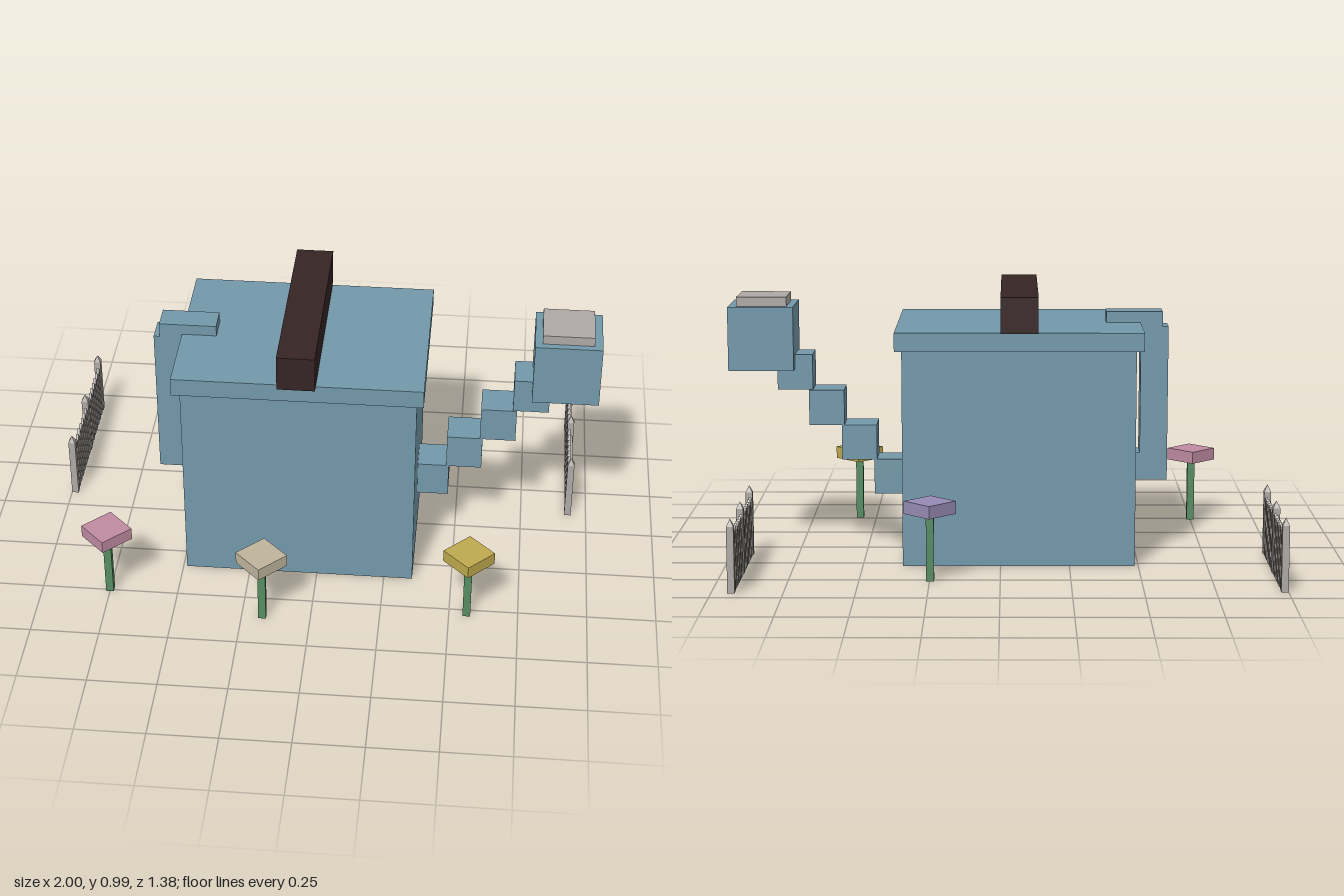
import * as THREE from 'three';

const mat = (name, color) => Object.assign(new THREE.MeshStandardMaterial({ color }), { name });

export function createModel() {
  const model = new THREE.Group();
  model.name = 'wateringCanGarden';

  const blue = mat('dusty blue', 0x7399ab);
  const brown = mat('dark brown', 0x352424);
  const grey = mat('warm grey', 0xaea9a6);
  const green = mat('stem green', 0x568c62);

  // Box given by its min and max on each axis
  function box(name, material, [x0, x1], [y0, y1], [z0, z1], parent = model) {
    const mesh = new THREE.Mesh(new THREE.BoxGeometry(x1 - x0, y1 - y0, z1 - z0), material);
    mesh.position.set((x0 + x1) / 2, (y0 + y1) / 2, (z0 + z1) / 2);
    mesh.name = name;
    parent.add(mesh);
    return mesh;
  }

  // Can body, rim and top bar
  box('body', blue, [-0.487, 0.355], [0, 0.79], [-0.293, 0.337]);
  box('rim', blue, [-0.514, 0.38], [0.79, 0.857], [-0.32, 0.362]);
  box('topBar', brown, [-0.135, 0], [0.857, 0.988], [-0.347, 0.39]);

  // Stepped spout with its head
  const steps = [[0.34, 0.215], [0.46, 0.345], [0.58, 0.475], [0.695, 0.608]];
  for (const [x, y] of steps) {
    box('spoutStep', blue, [x, x + 0.13], [y, y + 0.131], [-0.044, 0.088]);
  }
  box('spoutHead', blue, [0.76, 1], [0.686, 0.921], [-0.097, 0.14]);
  box('spoutCap', grey, [0.786, 0.97], [0.921, 0.955], [-0.068, 0.114]);

  // Side handle
  const hz = [-0.028, 0.068];
  box('handlePost', blue, [-0.618, -0.516], [0.267, 0.843], hz);
  box('handleTop', blue, [-0.596, -0.388], [0.8, 0.897], hz);
  box('handleFoot', blue, [-0.6, -0.48], [0.267, 0.37], hz);

  // Flowers
  const flowers = [
    ['pink', 0xbf8ba1, -0.75, 0.495],
    ['cream', 0xbfb59d, -0.174, 0.599],
    ['yellow', 0xbfa94e, 0.564, 0.521],
    ['purple', 0x968ab4, 0.248, -0.505],
  ];
  for (const [name, color, x, z] of flowers) {
    const flower = new THREE.Group();
    flower.name = name + 'Flower';
    flower.position.set(x, 0, z);
    box('stem', green, [-0.014, 0.014], [0, 0.243], [-0.014, 0.014], flower);
    box('bloom', mat(name, color), [-0.065, 0.065], [0.241, 0.287], [-0.065, 0.065], flower).rotation.y = Math.PI / 4;
    model.add(flower);
  }

  // Pointed flat picket, running up y and facing x
  const w = 0.012, h = 0.2, tip = 0.222, thick = 0.01;
  const shape = new THREE.Shape([[-w, 0], [w, 0], [w, h], [0, tip], [-w, h]].map(p => new THREE.Vector2(...p)));
  const picketGeo = new THREE.ExtrudeGeometry(shape, { depth: thick, bevelEnabled: false });
  picketGeo.translate(0, 0, -thick / 2).rotateY(Math.PI / 2);

  // Square post cap
  const capGeo = new THREE.ConeGeometry(0.0127 * Math.SQRT2, 0.026, 4, 1).rotateY(Math.PI / 4).toNonIndexed();
  capGeo.computeVertexNormals();

  // Two-bay fence along z; side points to the inside
  function fence(name, x, zFar, side) {
    const group = new THREE.Group();
    group.name = name;
    group.position.set(x, 0, zFar);
    const bay = 0.2825;
    for (let i = 0; i <= 16; i++) {
      const z = i * bay / 8;
      if (i % 8 === 0) {
        box('fencePost', grey, [-0.0127, 0.0127], [0, 0.236], [z - 0.0127, z + 0.0127], group);
        const cap = new THREE.Mesh(capGeo, grey);
        cap.name = 'postPoint';
        cap.position.set(0, 0.249, z);
        group.add(cap);
      } else {
        const picket = new THREE.Mesh(picketGeo, grey);
        picket.name = 'picket';
        picket.position.set(side * 0.006, 0, z);
        group.add(picket);
      }
    }
    for (const y of [0.06, 0.166]) {
      box('fenceRail', grey, side > 0 ? [-0.009, 0.002] : [-0.002, 0.009], [y - 0.009, y + 0.009], [0, 2 * bay], group);
    }
    model.add(group);
  }
  fence('rightFence', -0.987, -0.655, 1);
  fence('leftFence', 0.93, -0.68, -1);

  return model;
}
